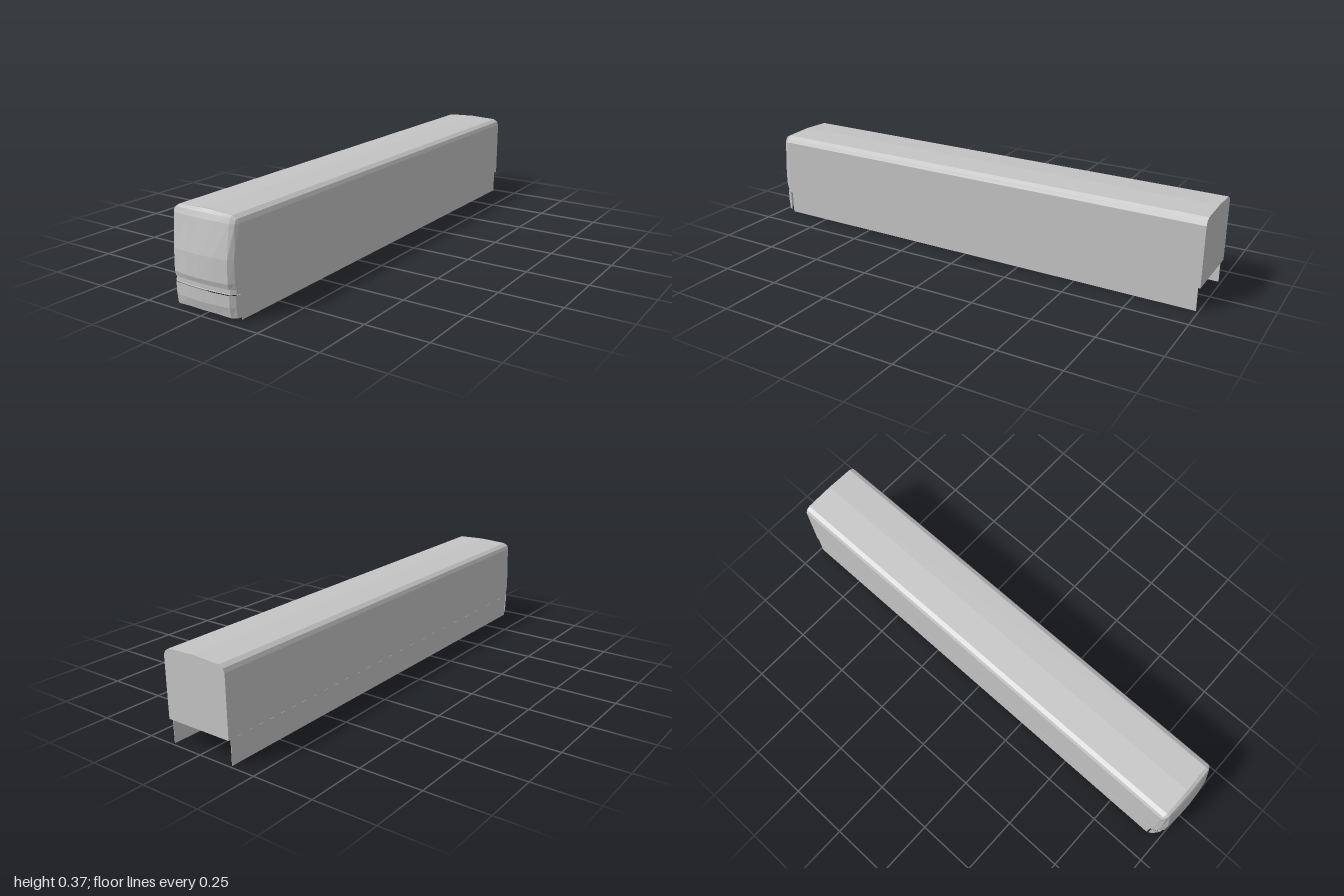
import * as THREE from 'three';

const paint = new THREE.MeshStandardMaterial({ color: 0xc4c4c4, flatShading: true, side: THREE.DoubleSide });
paint.name = 'plain grey';

const HALF = 0.144, SILL = 0.097, CAB = 0.95;

// roof outline, from the side wall to the middle
const ROOF = [[HALF, 0.34], [0.137, 0.355], [0.12, 0.366], [0, 0.371]];

function roofHeight(x) {
  const a = Math.min(Math.abs(x), HALF);
  for (let i = 0; i < 3; i++) {
    const [x0, y0] = ROOF[i], [x1, y1] = ROOF[i + 1];
    if (a >= x1) return y1 + (y0 - y1) * (a - x1) / (x0 - x1);
  }
  return 0.371;
}

function add(group, name, geometry, x = 0, y = 0, z = 0) {
  const mesh = new THREE.Mesh(geometry, paint);
  mesh.name = name;
  mesh.position.set(x, y, z);
  group.add(mesh);
}

// surface through equal rows of points, each running from -x to +x, rows going up
function skin(rows) {
  const n = rows[0].length, index = [];
  for (let r = 0; r < rows.length - 1; r++) {
    for (let c = 0; c < n - 1; c++) {
      const a = r * n + c, b = a + 1, d = a + n, e = d + 1;
      index.push(a, b, e, a, e, d);
    }
  }
  const g = new THREE.BufferGeometry();
  g.setAttribute('position', new THREE.Float32BufferAttribute(rows.flat(2), 3));
  g.setIndex(index);
  g.computeVertexNormals();
  return g;
}

// columns across the front: x and how much of the bulge is kept there
const COLUMNS = [[HALF, 0], [0.137, 0.45], [0.12, 0.8], [0.06, 0.94], [0, 1]];
const ACROSS = [
  ...COLUMNS.map(([x, f]) => [-x, f]),
  ...COLUMNS.slice(0, -1).reverse(),
];
const bulge = (z, f) => CAB + (z - CAB) * f;

export function createModel() {
  const group = new THREE.Group();

  // long hollow car body with a flat tail
  const outline = new THREE.Shape();
  outline.moveTo(-HALF, SILL);
  outline.lineTo(HALF, SILL);
  ROOF.forEach(([x, y]) => outline.lineTo(x, y));
  ROOF.slice(0, -1).reverse().forEach(([x, y]) => outline.lineTo(-x, y));
  outline.closePath();
  add(group, 'carBody', new THREE.ExtrudeGeometry(outline, { depth: CAB + 1, bevelEnabled: false }), 0, 0, -1);

  // cab front: recessed sill strip, brow, raked windscreen, rounded roof edge
  const levels = [
    [SILL, 0.986], [0.115, 0.986], [0.117, 0.994], [0.136, 1],
    [0.22, 0.997], [0.34, 0.975], [0.36, 0.967], [0.371, 0.953],
  ];
  add(group, 'cabFront', skin(levels.map(([y, z], i) => ACROSS.map(([x, f]) => {
    const top = roofHeight(x);
    const limit = i === 7 ? top : top - (7 - i) * 0.003;
    return [x, i === 7 ? top : Math.min(y, limit), bulge(z, f)];
  }))));

  // underside of the cab overhang
  add(group, 'cabSill', skin([
    ACROSS.map(([x, f]) => [x, SILL, bulge(0.992, f)]),
    ACROSS.map(([x]) => [x, SILL, CAB - 0.01]),
  ]));

  // bumper shell: upright upper panel and an inward raked lower panel
  const bumper = [[0.012, 0.984], [0.05, 0.993], [0.095, 0.994]];
  add(group, 'bumper', skin(bumper.map(([y, z], i) => ACROSS.map(([x, f]) =>
    [x, i === 0 && Math.abs(x) < 0.11 ? 0.016 : y, bulge(z, f)]))));

  // side skirts, the left one set slightly inboard
  const skirt = new THREE.BoxGeometry(0.002, 0.099, 1.935);
  add(group, 'rightSkirt', skirt, -0.1435, 0.0495, -0.0225);
  add(group, 'leftSkirt', skirt, 0.137, 0.0495, -0.0225);

  // cross members under the cab
  add(group, 'crossMember', new THREE.BoxGeometry(0.278, 0.03, 0.06), -0.003, 0.083, 0.84);
  add(group, 'frontCrossMember', new THREE.BoxGeometry(0.278, 0.02, 0.015), -0.003, 0.087, 0.925);

  return group;
}
